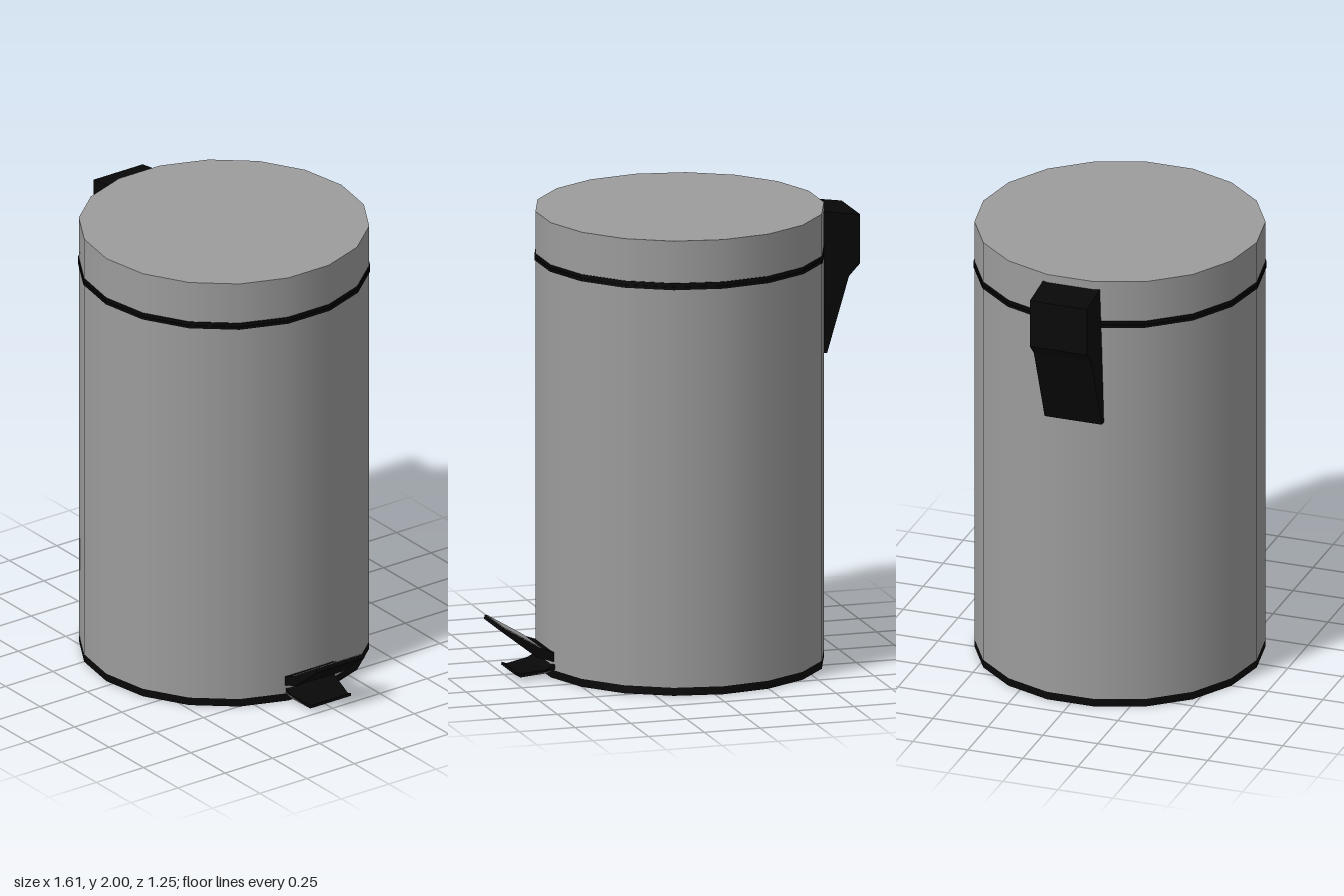
import * as THREE from 'three';

const SIDES = 18, RADIUS = 0.622, AXIS_X = -0.037;

export function createModel() {
  const bin = new THREE.Group();
  bin.name = 'pedalBin';
  const steel = new THREE.MeshStandardMaterial({ color: 0x9c9c9c });
  const black = new THREE.MeshStandardMaterial({ color: 0x080808 });

  function add(name, geometry, material) {
    const mesh = new THREE.Mesh(geometry, material);
    mesh.name = name;
    bin.add(mesh);
  }

  // Upright drum section between two heights
  function drum(name, y0, y1, radius, material) {
    const geometry = new THREE.CylinderGeometry(radius, radius, y1 - y0, SIDES);
    add(name, geometry.translate(AXIS_X, (y0 + y1) / 2, 0), material);
  }

  // Side profile in x and y, extruded between two z positions; moveZ reshapes the sides
  function profile(name, points, z0, z1, material, moveZ = (x, y, z) => z) {
    const shape = new THREE.Shape(points.map(([x, y]) => new THREE.Vector2(x, y)));
    const geometry = new THREE.ExtrudeGeometry(shape, { depth: z1 - z0, bevelEnabled: false });
    geometry.translate(0, 0, z0);
    const p = geometry.attributes.position;
    for (let i = 0; i < p.count; i++) p.setZ(i, moveZ(p.getX(i), p.getY(i), p.getZ(i)));
    geometry.computeVertexNormals();
    add(name, geometry, material);
  }

  // Body, lid and black trim
  drum('baseRing', 0, 0.035, RADIUS, black);
  drum('body', 0.035, 1.785, RADIUS, steel);
  drum('bodyRim', 1.785, 1.798, RADIUS + 0.004, black);
  drum('lidSeam', 1.798, 1.803, RADIUS, black);
  drum('lidRim', 1.803, 1.815, RADIUS + 0.004, black);
  drum('lid', 1.815, 2, RADIUS, steel);

  // Hinge housing, its lower end leaning slightly to the front
  profile('hingeHousing', [
    [-0.62, 1.967], [-0.805, 1.94], [-0.805, 1.725],
    [-0.755, 1.672], [-0.662, 1.338], [-0.62, 1.338],
  ], -0.13, 0.13, black, (x, y, z) => (y < 1.4 ? z + 0.015 : z));

  // Pedal with a steel tread plate
  profile('pedal', [
    [0.56, 0.07], [0.645, 0.098], [0.803, 0.222],
    [0.798, 0.24], [0.624, 0.135], [0.56, 0.112],
  ], -0.13, 0.12, black);
  profile('pedalTread', [
    [0.624, 0.133], [0.793, 0.235], [0.792, 0.24], [0.623, 0.138],
  ], -0.126, 0.116, steel);

  // Curved foot under the pedal, narrowing towards its tip
  profile('foot', [
    [0.56, 0.066], [0.56, 0.04], [0.6, 0.026], [0.712, 0.01],
    [0.735, 0.023], [0.732, 0.034], [0.712, 0.026], [0.61, 0.04],
  ], -0.135, 0.116, black, (x, y, z) => (x > 0.65 ? -0.01 + (z + 0.01) * 0.8 : z));

  return bin;
}
